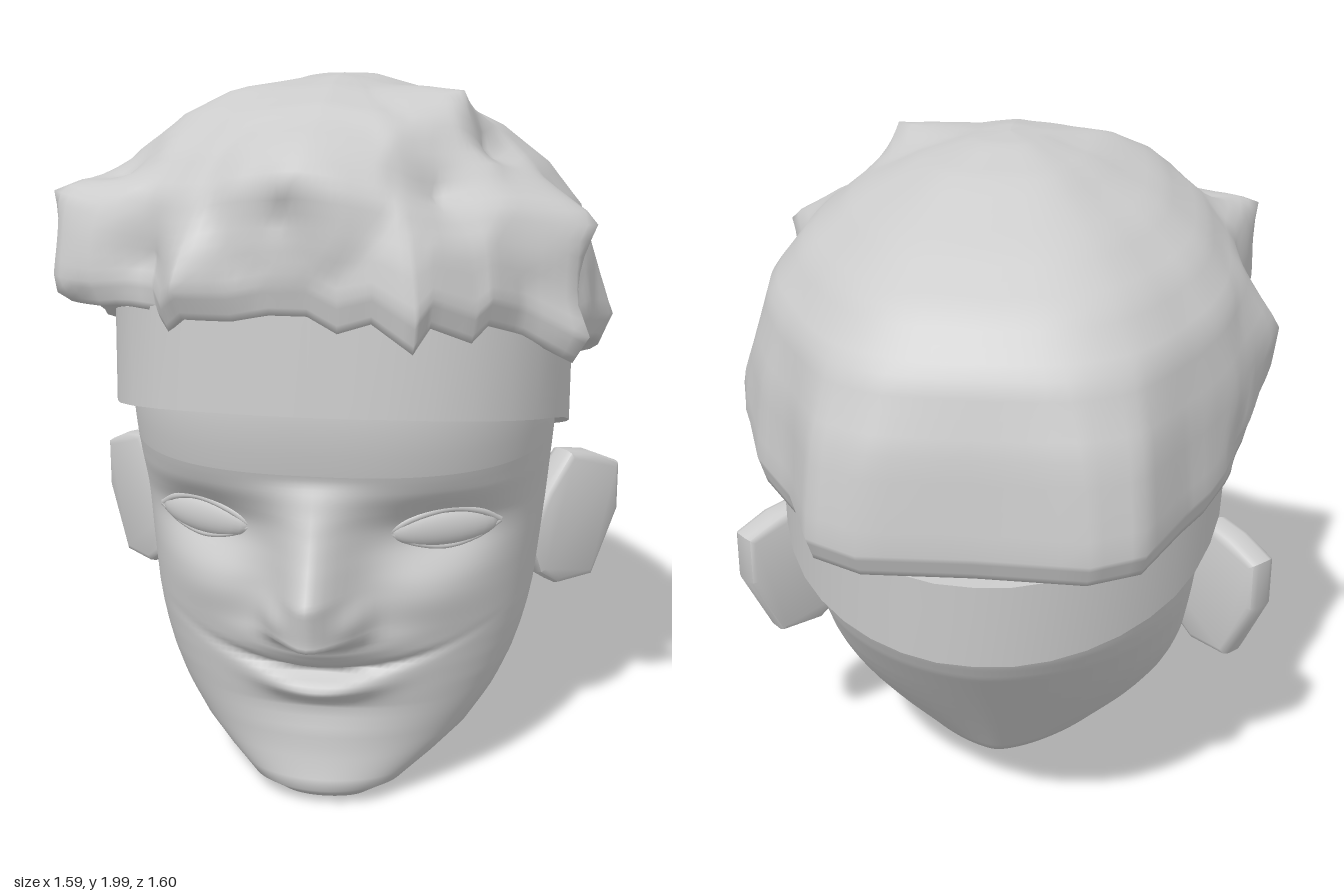
import * as THREE from 'three';
import { toCreasedNormals } from 'three/addons/utils/BufferGeometryUtils.js';

const material = new THREE.MeshStandardMaterial({ color: 0xcccccc, roughness: 0.8 });
const doubleSided = material.clone();
doubleSided.side = THREE.DoubleSide;

// Piecewise linear lookup: rows of [key, values...] in rising key order
function lookup(table, key) {
  let i = 0;
  while (i < table.length - 2 && key > table[i + 1][0]) i++;
  const a = table[i], b = table[i + 1];
  const t = THREE.MathUtils.clamp((key - a[0]) / (b[0] - a[0]), 0, 1);
  return a.slice(1).map((v, k) => v + (b[k + 1] - v) * t);
}

// Skin over closed rings of points; each ring runs front, +x, back, -x
function loft(rings) {
  const n = rings[0].length, index = [];
  for (let i = 0; i < rings.length - 1; i++) {
    for (let j = 0; j < n; j++) {
      const k = (j + 1) % n;
      const a = i * n + j, b = i * n + k, c = a + n, d = b + n;
      index.push(a, b, d, a, d, c);
    }
  }
  const geometry = new THREE.BufferGeometry();
  geometry.setAttribute('position', new THREE.Float32BufferAttribute(rings.flat(2), 3));
  geometry.setIndex(index);
  geometry.computeVertexNormals();
  return geometry;
}

// Superellipse direction at angle a, with its own power for front and back
function squircle(a, frontPower, backPower) {
  const s = Math.sin(a), c = Math.cos(a);
  const n = c > 0 ? frontPower : backPower;
  const r = (Math.abs(s) ** n + Math.abs(c) ** n) ** (-1 / n);
  return [s * r, c * r];
}

function add(parent, name, geometry, mat = material) {
  const mesh = new THREE.Mesh(geometry, mat);
  mesh.name = name;
  parent.add(mesh);
  return mesh;
}

const bump = (v, centre, width) => Math.exp(-(((v - centre) / width) ** 2));

// Relief of the face: nose, eye sockets, cheeks, lips and chin
const noseTable = [[0.48, 0, 0.13], [0.515, 0.05, 0.13], [0.55, 0.18, 0.115], [0.67, 0.2, 0.1],
  [0.75, 0.15, 0.1], [0.86, 0.08, 0.1], [0.98, 0, 0.12]];
function faceRelief(x, y) {
  const ax = Math.abs(x);
  const [height, width] = lookup(noseTable, y);
  let z = height * bump(x, 0, width);
  z += 0.03 * bump(ax, 0.11, 0.04) * bump(y, 0.6, 0.05);
  z -= 0.075 * bump(ax, 0.33, 0.16) * bump(y, 0.82, 0.085);
  z += 0.025 * bump(ax, 0.3, 0.15) * bump(y, 0.64, 0.09);
  const smile = y - 0.5 * x * x;
  z += 0.06 * bump(x, 0, 0.17) * bump(smile, 0.48, 0.045);
  z += 0.06 * bump(x, 0, 0.15) * bump(smile, 0.37, 0.035);
  z -= 0.04 * bump(x, 0, 0.24) * bump(smile, 0.42, 0.014);
  z -= 0.015 * bump(x, 0, 0.2) * bump(y, 0.29, 0.04);
  return z;
}

// Head sections: [y, half width, front z, back z, widest z, front power, back power]
const sections = [
  [0.01, 0, 0.48, 0.48, 0.48, 2, 2], [0.015, 0.12, 0.54, 0.42, 0.48, 2, 2],
  [0.06, 0.22, 0.6, 0.25, 0.42, 2, 1.8], [0.12, 0.31, 0.585, 0, 0.33, 2.1, 1.6],
  [0.18, 0.39, 0.575, -0.25, 0.25, 2.1, 1.5], [0.3, 0.485, 0.575, -0.34, 0.16, 2.2, 1.6],
  [0.48, 0.55, 0.595, -0.48, 0.07, 2.3, 1.75], [0.72, 0.58, 0.6, -0.67, 0, 2.4, 1.9],
  [0.9, 0.595, 0.63, -0.71, -0.02, 2.5, 1.9], [1.0, 0.605, 0.67, -0.71, -0.02, 2.6, 1.9],
  [1.18, 0.615, 0.69, -0.72, -0.02, 2.6, 1.9], [1.45, 0.58, 0.66, -0.66, 0, 2.5, 1.9],
  [1.5, 0, 0, 0, 0, 2, 2]];

function headGeometry() {
  const heights = [0.01, 0.015, 0.035];
  for (let y = 0.06; y < 0.3; y += 0.03) heights.push(y);
  for (let y = 0.3; y < 1.0; y += 0.0125) heights.push(y);
  heights.push(1.0, 1.06, 1.12, 1.18, 1.3, 1.45, 1.5);
  const count = 160;
  return loft(heights.map((y) => {
    // Averaging neighbouring heights softens the steps between sections
    const spread = y < 1.2 ? THREE.MathUtils.clamp((y - 0.18) * 0.5, 0, 0.06) : 0;
    const [low, same, high] = [-spread, 0, spread].map((d) => lookup(sections, y + d));
    const [w, front, back, mid, n, m] = same.map((v, i) => (low[i] + v + high[i]) / 3);
    return Array.from({ length: count }, (_, j) => {
      const [s, c] = squircle((j / count) * Math.PI * 2, n, m);
      const x = w * s;
      const z = mid + c * (c > 0 ? front - mid : mid - back);
      const facing = THREE.MathUtils.smoothstep(c, 0, 0.5);
      return [x, y, z + facing * faceRelief(x, y)];
    });
  }));
}

// Headband: tilted ring with a rectangular cross-section
function bandGeometry() {
  const lower = [[-0.76, 0.79], [-0.4, 0.87], [0, 1.0], [0.3, 1.09], [0.73, 1.18]];
  const corner = (inset, top) => Array.from({ length: 40 }, (_, j) => {
    const [s, c] = squircle((j / 40) * Math.PI * 2, 2.8, 1.95);
    const rise = top ? 0.245 + 0.03 * Math.max(0, c) : 0;
    const y = lookup(lower, c * 0.755 - 0.015)[0] + rise;
    return [s * (0.645 - inset), y, c * (0.755 - inset) - (top ? 0.03 : 0.015)];
  });
  const rings = [corner(0, false), corner(0, true), corner(0.06, true), corner(0.06, false)];
  return toCreasedNormals(loft([...rings, rings[0]]), 0.6);
}

// Jagged hem of the hair: [x, z, y]
const hem = [
  [0, 0.75, 1.44], [0.08, 0.76, 1.4], [0.17, 0.77, 1.43], [0.28, 0.79, 1.36], [0.32, 0.75, 1.42],
  [0.42, 0.68, 1.37], [0.46, 0.65, 1.41], [0.54, 0.55, 1.37], [0.66, 0.48, 1.29], [0.66, 0.38, 1.29],
  [0.7, 0.22, 1.29], [0.72, 0.05, 1.25], [0.73, -0.1, 1.2], [0.72, -0.2, 1.17], [0.65, -0.38, 1.11],
  [0.53, -0.53, 1.08], [0.44, -0.74, 1.06], [0.3, -0.8, 1.05], [0, -0.79, 1.05],
  [-0.3, -0.8, 1.05], [-0.44, -0.74, 1.06], [-0.54, -0.53, 1.08], [-0.6, -0.44, 1.1], [-0.68, -0.28, 1.15],
  [-0.71, -0.18, 1.2], [-0.74, 0.05, 1.28], [-0.7, 0.2, 1.32], [-0.69, 0.4, 1.4], [-0.66, 0.53, 1.45],
  [-0.58, 0.6, 1.43], [-0.43, 0.64, 1.42], [-0.38, 0.7, 1.38], [-0.32, 0.76, 1.43], [-0.2, 0.74, 1.42],
  [-0.1, 0.75, 1.44]];

// Hollows, then tips of locks: [x, y, z, reach]
const locks = [
  [-0.05, 1.67, 0.67, 0.16], [-0.63, 1.59, 0.46, 0.13], [0.39, 1.8, 0.3, 0.15], [0.63, 1.5, 0.34, 0.15],
  [0.3, 1.72, 0.56, 0.18], [-0.5, 1.72, 0.42, 0.15], [-0.42, 1.55, 0.6, 0.13],
  [-0.72, 1.71, 0.5, 0.22], [-0.7, 1.45, 0.57, 0.18], [-0.78, 1.47, 0.05, 0.22], [0.71, 1.64, 0.42, 0.2],
  [0.76, 1.31, -0.05, 0.18], [0.7, 1.36, 0.5, 0.17], [0.35, 1.97, 0.32, 0.2], [-0.05, 1.78, 0.78, 0.24],
  [-0.33, 1.53, 0.79, 0.2], [-0.28, 1.96, 0.3, 0.22], [-0.66, 1.25, -0.25, 0.12]];

// Hair: hem swept up to the crown, then pulled into locks
function hairGeometry() {
  // [step, scale from the crown axis, height share at the back, height share at the front]
  const levels = [
    [0, 0.82, 0.03, 0.06], [1, 0.97, 0, 0], [2, 1, 0.07, 0.15], [3, 0.97, 0.35, 0.35], [4, 0.91, 0.55, 0.58],
    [5, 0.78, 0.69, 0.76], [6, 0.6, 0.81, 0.9], [7, 0.35, 0.94, 0.97], [8, 0.15, 0.99, 1], [9, 0, 1, 1]];
  const crown = 0.12, fine = 4;
  const outline = hem.flatMap((p, i) => {
    const q = hem[(i + 1) % hem.length];
    return Array.from({ length: fine }, (_, k) => p.map((v, axis) => v + (q[axis] - v) * (k / fine)));
  });
  // The outline loses its jags towards the crown
  const reach = 5, total = outline.length;
  const softened = outline.map((p, i) => p.map((_, axis) => {
    let sum = 0;
    for (let d = -reach; d <= reach; d++) sum += outline[(i + d + total) % total][axis];
    return sum / (2 * reach + 1);
  }));
  const rings = Array.from({ length: 9 * fine + 1 }, (_, i) => {
    const [scale, back, front] = lookup(levels, i / fine);
    const soft = THREE.MathUtils.smoothstep(i / fine, 2, 4.5);
    return outline.map((p, j) => {
      const [x, z, y] = p.map((v, axis) => THREE.MathUtils.lerp(v, softened[j][axis], soft));
      const forward = (z + 0.8) / 1.6;
      const share = THREE.MathUtils.lerp(back, front, forward);
      const slope = 1 - 0.22 * Math.abs(x) * scale * forward;
      return [x * scale, y + (2 - y) * share * slope, crown + (z - crown) * scale];
    });
  });
  const points = rings.flat();
  const distance = (p, q) => Math.hypot(p[0] - q[0], p[1] - q[1], p[2] - q[2]);
  for (const tip of locks) {
    const root = [...points.reduce((best, p) => (distance(p, tip) < distance(best, tip) ? p : best))];
    for (const p of points) {
      const pull = Math.max(0, 1 - distance(p, root) / tip[3]) ** 1.2;
      for (let axis = 0; axis < 3; axis++) p[axis] += (tip[axis] - root[axis]) * pull;
    }
  }
  return loft(rings);
}

// Eyeball with upper and lower lids
function eye(side) {
  const group = new THREE.Group();
  group.name = side > 0 ? 'leftEye' : 'rightEye';
  add(group, 'eyeball', new THREE.SphereGeometry(1, 24, 16)).scale.set(0.16, 0.056, 0.034);
  for (const [name, lift, out] of [['upperLid', 0.058, 0.03], ['lowerLid', -0.052, 0.012]]) {
    const points = [-1, -0.6, 0, 0.6, 1].map((t) => new THREE.Vector3(
      t * 0.165, lift * (1 - t * t), out * (1 - t * t)));
    add(group, name, new THREE.TubeGeometry(new THREE.CatmullRomCurve3(points), 20, 0.009, 6));
  }
  group.position.set(side * 0.33, 0.82, 0.48);
  group.rotation.y = side * 0.5;
  return group;
}

// Ear: angular plate swept backwards
function ear(parent, side) {
  const outline = [[0.02, 0.55], [0.08, 0.51], [0.2, 0.51], [0.29, 0.69], [0.29, 0.82],
    [0.2, 0.86], [0.12, 0.875], [0.04, 0.78], [-0.02, 0.66]];
  const shape = new THREE.Shape(outline.map(([u, y]) => new THREE.Vector2(side * u, y)));
  const geometry = new THREE.ExtrudeGeometry(shape, {
    depth: 0.045, bevelEnabled: true, bevelSize: 0.02, bevelThickness: 0.025, bevelSegments: 2 });
  const mesh = add(parent, side > 0 ? 'leftEar' : 'rightEar', toCreasedNormals(geometry, 0.8));
  mesh.position.set(side * 0.532, 0, 0.02);
  mesh.rotation.y = side * 0.76;
}

export function createModel() {
  const model = new THREE.Group();
  model.name = 'head';
  add(model, 'face', headGeometry());
  add(model, 'headband', bandGeometry());
  add(model, 'hair', hairGeometry(), doubleSided);
  for (const side of [1, -1]) {
    model.add(eye(side));
    ear(model, side);
  }
  return model;
}
